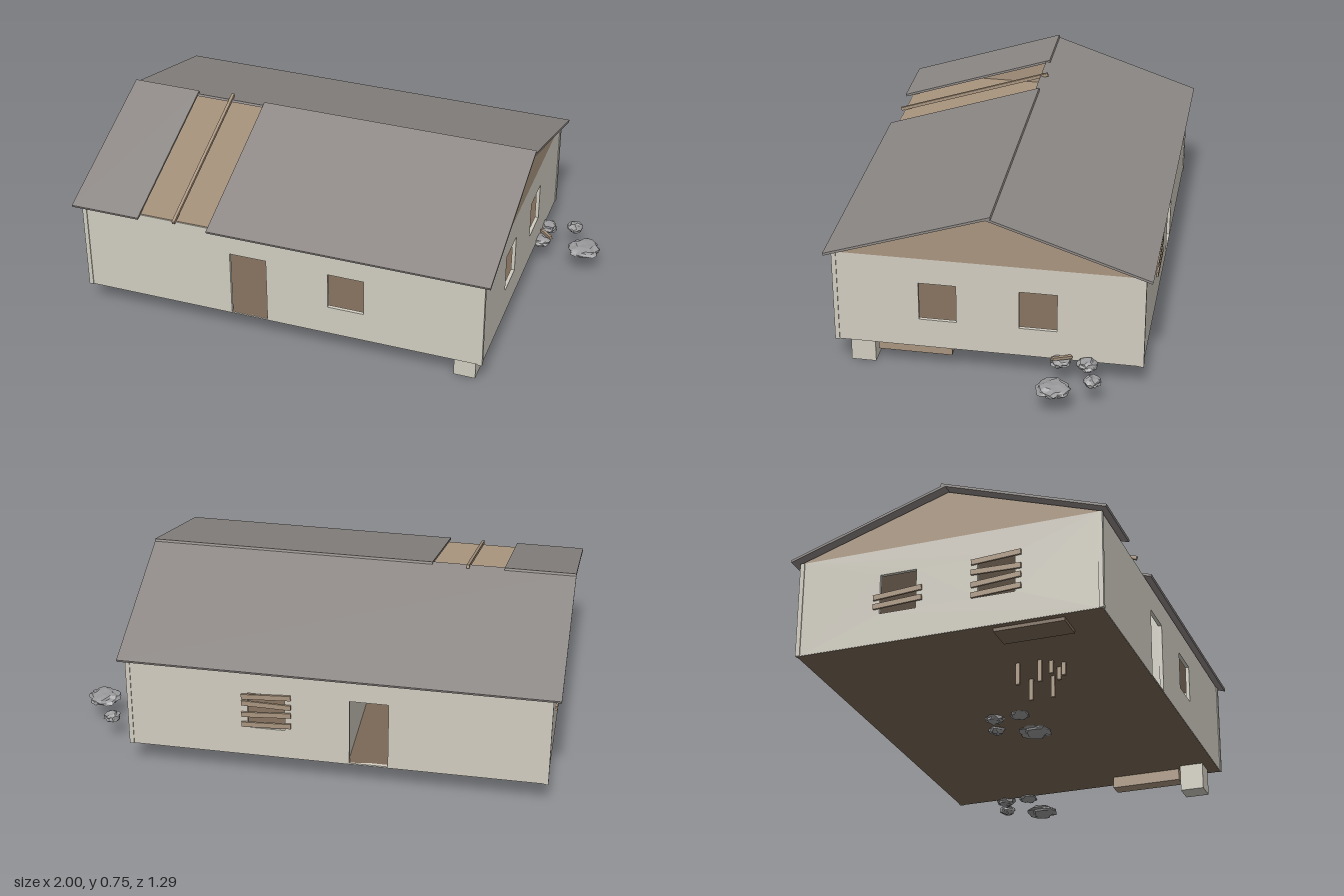
import * as THREE from 'three';

const mat = (color, extra = {}) => new THREE.MeshStandardMaterial({ color, ...extra });
const plaster = mat(0xd0ccc0), roofing = mat(0x8d8885), timber = mat(0xa8947e);
const darkWood = mat(0x7a6856), stone = mat(0x9a9a9c, { flatShading: true });

const X0 = -0.965, X1 = 0.725, Z = 0.615;      // outer wall faces
const BASE = 0.115, TOP = 0.515, RIDGE = 0.73; // floor underside, wall top, ridge
const T = 0.015;                               // wall thickness
const MID = (X0 + X1) / 2;

function add(parent, name, geo, material, x = 0, y = 0, z = 0) {
  const m = new THREE.Mesh(geo, material);
  m.name = name;
  m.position.set(x, y, z);
  parent.add(m);
  return m;
}

// Box given by its limits on each axis
function block(parent, name, material, [x0, x1], [y0, y1], [z0, z1]) {
  return add(parent, name, new THREE.BoxGeometry(x1 - x0, y1 - y0, z1 - z0), material,
    (x0 + x1) / 2, (y0 + y1) / 2, (z0 + z1) / 2);
}

// Wall panel in the u/y plane with rectangular openings [u0, u1, y0, y1]
function wallGeometry(u0, u1, openings) {
  const rect = (P, a, b, c, d) => {
    const p = new P();
    p.moveTo(a, c); p.lineTo(b, c); p.lineTo(b, d); p.lineTo(a, d); p.closePath();
    return p;
  };
  const shape = rect(THREE.Shape, u0, u1, BASE, TOP);
  for (const o of openings) shape.holes.push(rect(THREE.Path, ...o));
  return new THREE.ExtrudeGeometry(shape, { depth: T, bevelEnabled: false });
}

// Small seeded generator
function seeded(seed) {
  return () => (seed = (seed * 16807) % 2147483647) / 2147483647;
}

// Lumpy flattened stone; equal corners receive equal displacement
function rockGeometry(r, h, seed) {
  const g = new THREE.IcosahedronGeometry(1, 2), p = g.attributes.position;
  const rnd = seeded(seed), moved = new Map();
  for (let i = 0; i < p.count; i++) {
    const key = [p.getX(i), p.getY(i), p.getZ(i)].map(v => Math.round(v * 1000)).join();
    if (!moved.has(key)) moved.set(key, 0.78 + 0.34 * rnd());
    const k = moved.get(key);
    p.setXYZ(i, p.getX(i) * k * r, p.getY(i) * k * h, p.getZ(i) * k * r);
  }
  g.computeVertexNormals();
  return g;
}

function rubblePile(parent, x, z) {
  const pile = new THREE.Group();
  pile.name = 'rubblePile';
  pile.position.set(x, BASE, z);
  const rocks = [[0, 0, 0.068, 0.022], [-0.072, -0.145, 0.035, 0.022],
    [-0.185, -0.11, 0.04, 0.025], [-0.19, 0, 0.042, 0.02]];
  rocks.forEach(([rx, rz, r, h], i) => add(pile, 'rock', rockGeometry(r, h, 71 + i * 997), stone, rx, 0, rz));
  const stick = add(pile, 'stick', new THREE.BoxGeometry(0.09, 0.012, 0.014), timber, -0.17, 0.03, -0.01);
  stick.rotation.set(0, -0.9, 0.2);
  parent.add(pile);
}

// Crooked boards nailed over a window; the parent faces +z locally
function boards(parent, name, position, angle, heights) {
  const g = new THREE.Group();
  g.name = name;
  g.position.set(...position);
  g.rotation.y = angle;
  heights.forEach((y, i) => {
    const b = add(g, 'board', new THREE.BoxGeometry(0.2, 0.022, 0.008), timber, 0, y, 0.004);
    b.rotation.z = [0.05, 0.07, -0.02, 0.06][i % 4];
  });
  parent.add(g);
}

export function createModel() {
  const house = new THREE.Group();
  house.name = 'abandonedHouse';

  // Long walls share a doorway and a window
  const longOpenings = [[-0.33, -0.175, BASE + 0.006, 0.41], [0.085, 0.235, 0.245, 0.405]];
  add(house, 'frontWall', wallGeometry(X0, X1, longOpenings), plaster, 0, 0, Z - T);
  add(house, 'backWall', wallGeometry(X0, X1, longOpenings), plaster, 0, 0, -Z);

  // End walls with two windows each, and a solid partition
  const endOpenings = [[-0.275, -0.125, 0.24, 0.405], [0.125, 0.275, 0.24, 0.405]];
  const ends = [['rightEndWall', X0, endOpenings], ['leftEndWall', X1 - T, endOpenings], ['partition', -0.17, []]];
  for (const [name, x, openings] of ends) {
    const wall = add(house, name, wallGeometry(-Z + T, Z - T, openings), plaster, x, 0, 0);
    wall.rotation.y = Math.PI / 2;
  }

  // Corner posts
  for (const x of [X0 + 0.005, X1 - 0.005])
    for (const z of [-Z + 0.005, Z - 0.005])
      block(house, 'cornerPost', plaster, [x - 0.009, x + 0.009], [BASE, TOP], [z - 0.009, z + 0.009]);

  // Floor and attic ceiling
  block(house, 'floor', darkWood, [X0 + 0.002, X1 - 0.002], [BASE - 0.001, BASE + 0.006], [-Z + 0.002, Z - 0.002]);
  block(house, 'ceiling', timber, [X0 + 0.004, X1 - 0.004], [TOP - 0.005, TOP + 0.002], [-Z + 0.004, Z - 0.004]);

  // Timber gables
  const tri = new THREE.Shape([[-Z, TOP], [Z, TOP], [0, RIDGE - 0.012]].map(p => new THREE.Vector2(...p)));
  for (const x of [X0, X1 - T]) {
    const gable = add(house, 'gable', new THREE.ExtrudeGeometry(tri, { depth: T, bevelEnabled: false }), timber, x);
    gable.rotation.y = Math.PI / 2;
  }

  // Roof slabs: the front slope has a missing strip bridged by one rafter
  const pitch = Math.atan2(RIDGE - TOP, 0.645), slope = Math.hypot(RIDGE - TOP, 0.645);
  function slab(name, x0, x1, side, over, thick, material, end = slope) {
    const g = new THREE.Group();
    g.name = name;
    g.position.y = RIDGE;
    g.rotation.x = pitch * side;
    block(g, name + 'Slab', material, [x0, x1], [-thick / 2, thick / 2],
      side > 0 ? [-over, end] : [-end, over]);
    house.add(g);
  }
  slab('backRoof', -1, 0.755, -1, 0, 0.01, roofing);
  slab('frontRoofRight', -1, -0.71, 1, 0.02, 0.01, roofing);
  slab('frontRoofLeft', -0.415, 0.755, 1, 0.02, 0.01, roofing);
  slab('rafter', -0.567, -0.555, 1, 0.035, 0.014, timber, 0.665);

  // Boarded windows
  boards(house, 'backWindowBoards', [0.16, 0, -Z], Math.PI, [0.265, 0.313, 0.358, 0.395]);
  boards(house, 'endWindowBoardsBack', [X0, 0, -0.2], -Math.PI / 2, [0.275, 0.315]);
  boards(house, 'endWindowBoardsFront', [X0, 0, 0.2], -Math.PI / 2, [0.255, 0.3, 0.345, 0.395]);

  // Pier and beam below the floor
  block(house, 'pier', plaster, [0.6, 0.69], [0, BASE], [0.465, 0.565]);
  block(house, 'underBeam', timber, [0.63, 0.695], [0.065, BASE], [0.15, 0.45]);

  // Sunken furniture: bed underside, table legs and stool legs
  block(house, 'bedUnderside', darkWood, [-0.94, -0.825], [0.1, BASE], [0.18, 0.46]);
  const legs = [[-0.62, 0.16, 0.025], [-0.62, 0.25, 0.025], [-0.465, 0.16, 0.025], [-0.465, 0.25, 0.025],
    [-0.6, 0.29, 0.062], [-0.57, 0.33, 0.062], [-0.535, 0.3, 0.062]];
  for (const [x, z, y] of legs)
    block(house, 'furnitureLeg', timber, [x - 0.006, x + 0.006], [y, BASE], [z - 0.008, z + 0.008]);

  // Rubble beside the house and sunk into the floor
  rubblePile(house, 0.93, -0.29);
  rubblePile(house, 0.025, 0);

  return house;
}
